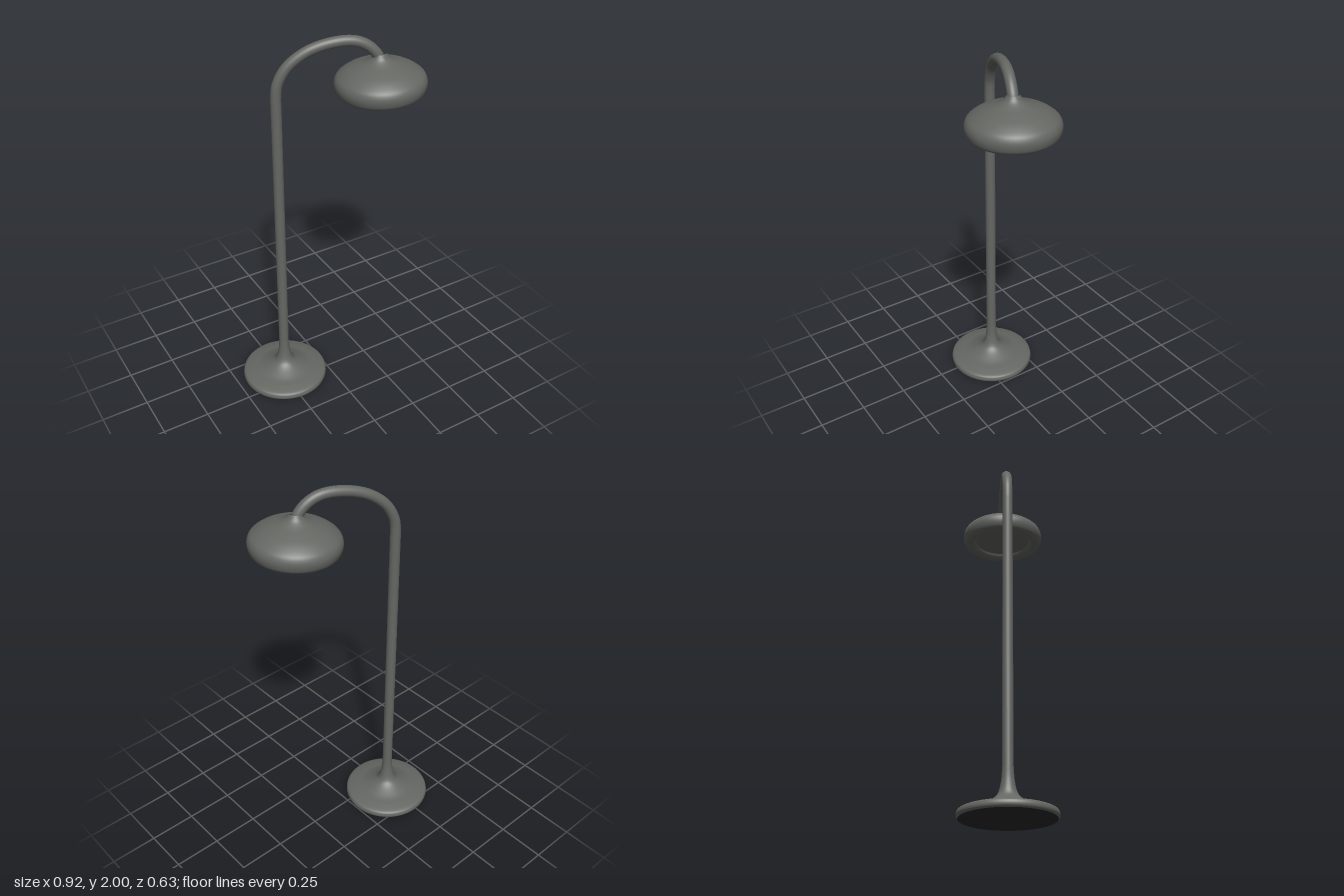
import * as THREE from 'three';

const mat = (name, color) => new THREE.MeshStandardMaterial({ name, color });
const v2 = ([r, y]) => new THREE.Vector2(r, y);

export function createModel() {
  const metal = mat('grey metal', 0x656763);
  const underside = mat('dark underside', 0x2a2a2a);

  const model = new THREE.Group();
  model.name = 'deskLamp';

  // everything lies in one vertical plane, turned about the pole
  const lamp = new THREE.Group();
  lamp.name = 'lamp';
  lamp.position.set(-0.23, 0, -0.082);
  lamp.rotation.y = -0.353;
  model.add(lamp);

  const add = (parent, name, geometry, material) => {
    const mesh = new THREE.Mesh(geometry, material);
    mesh.name = name;
    parent.add(mesh);
    return mesh;
  };

  // smooth turned shape from a few profile points, bottom to top
  const turned = (points, steps) =>
    new THREE.LatheGeometry(new THREE.SplineCurve(points.map(v2)).getPoints(steps), 64);

  // flared foot
  add(lamp, 'base', turned([
    [0.225, 0], [0.232, 0.01], [0.232, 0.024], [0.222, 0.038], [0.18, 0.05], [0.13, 0.061],
    [0.07, 0.09], [0.044, 0.122], [0.031, 0.18], [0.027, 0.24],
  ], 54), metal);
  const bottom = add(lamp, 'baseUnderside', new THREE.CircleGeometry(0.225, 64), underside);
  bottom.rotation.x = Math.PI / 2;

  // straight pole
  const pole = add(lamp, 'pole', new THREE.CylinderGeometry(0.0265, 0.0265, 1.5, 32, 1, true), metal);
  pole.position.y = 0.95;

  // curved arm reaching over to the shade
  const arm = new THREE.CatmullRomCurve3([
    [0, 1.66], [0, 1.71], [0.009, 1.78], [0.055, 1.863], [0.155, 1.936],
    [0.285, 1.971], [0.38, 1.968], [0.442, 1.938], [0.485, 1.89], [0.498, 1.85],
  ].map(([x, y]) => new THREE.Vector3(x, y, 0)));
  add(lamp, 'arm', new THREE.TubeGeometry(arm, 80, 0.0262, 32), metal);

  // shade with rolled lip, tilted slightly outward
  const head = new THREE.Group();
  head.name = 'head';
  head.position.set(0.503, 1.702, 0);
  head.rotation.z = 0.045;
  lamp.add(head);
  add(head, 'shade', turned([
    [0.15, 0.028], [0.158, 0.012], [0.175, 0.001], [0.195, 0.001], [0.213, 0.016], [0.222, 0.046],
    [0.219, 0.073], [0.204, 0.096], [0.165, 0.123], [0.12, 0.142], [0.078, 0.157],
    [0.045, 0.177], [0.029, 0.2],
  ], 72), metal);
  const disc = add(head, 'lampDisc', new THREE.CircleGeometry(0.15, 64), metal);
  disc.rotation.x = Math.PI / 2;
  disc.position.y = 0.028;

  return model;
}
